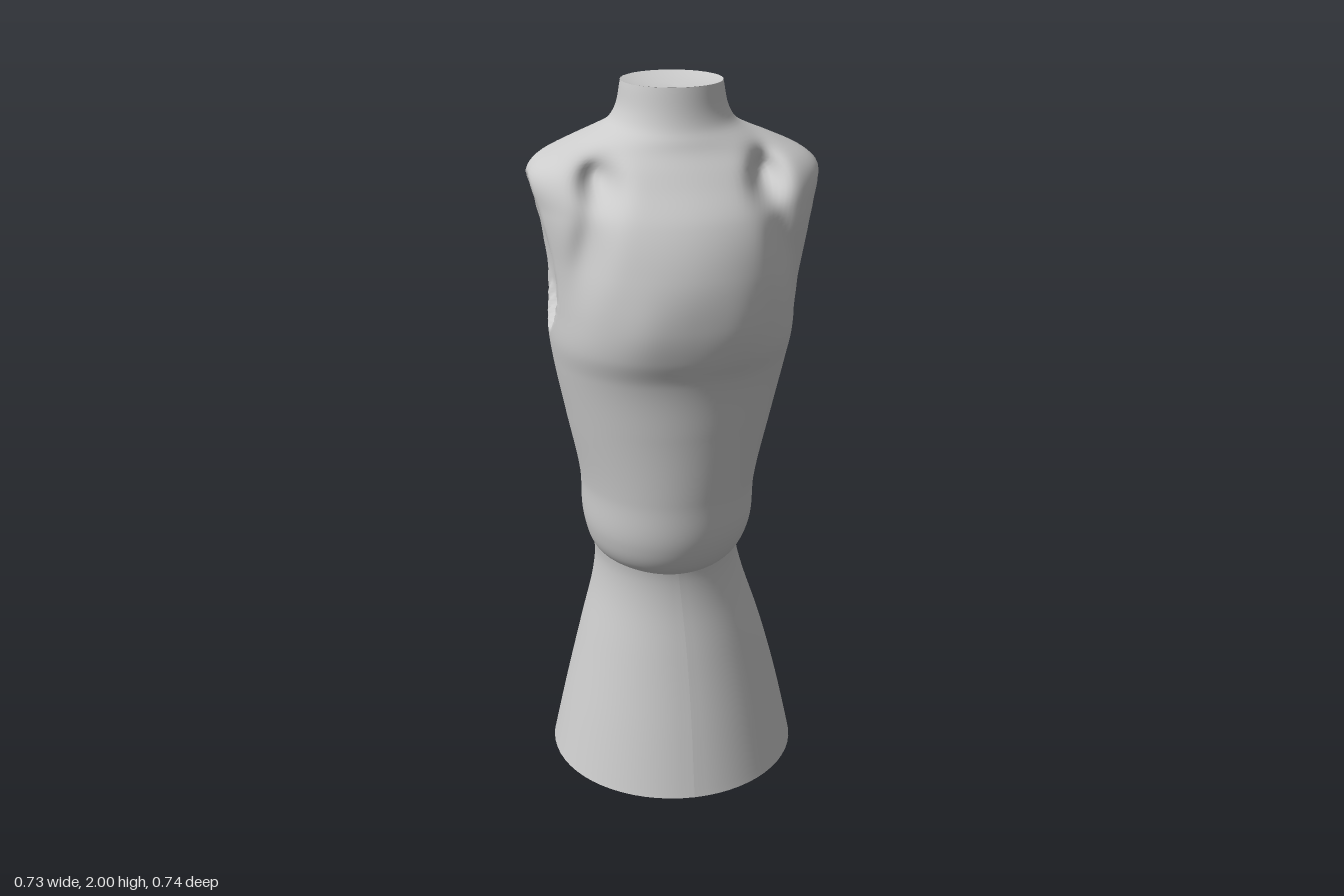
import * as THREE from 'three';

// Torso levels: y, half width, side offset, front z, back z
const LEVELS = [
  [0.665, 0.185, -0.025, 0.235, -0.175],
  [0.69, 0.208, -0.025, 0.258, -0.192],
  [0.76, 0.236, -0.022, 0.287, -0.212],
  [0.9, 0.246, -0.02, 0.298, -0.215],
  [1.1, 0.288, -0.017, 0.31, -0.22],
  [1.26, 0.322, -0.014, 0.328, -0.232],
  [1.33, 0.333, -0.012, 0.352, -0.25],
  [1.42, 0.338, -0.008, 0.366, -0.272],
  [1.55, 0.354, 0, 0.36, -0.285],
  [1.68, 0.38, 0.005, 0.312, -0.28],
  [1.765, 0.393, 0.008, 0.248, -0.258],
  [1.8, 0.362, 0.007, 0.222, -0.243],
  [1.84, 0.282, 0.004, 0.192, -0.222],
  [1.87, 0.216, 0, 0.176, -0.197],
  [1.89, 0.179, 0, 0.164, -0.172],
  [1.92, 0.155, 0, 0.153, -0.153],
  [2.0, 0.135, 0, 0.138, -0.136],
];
const bell = (d, w) => Math.exp(-((d / w) ** 2));
const power = (v, n) => Math.sign(v) * Math.abs(v) ** (2 / n);
const { smoothstep, lerp } = THREE.MathUtils;

const levelAt = new THREE.CubicInterpolant(
  LEVELS.map((l) => l[0]), LEVELS.flatMap((l) => l.slice(1)), 4);

function torsoPoint(y, angle) {
  const [w, cx, front, back] = levelAt.evaluate(y);
  const c = Math.cos(angle), s = Math.sin(angle);
  const isBody = smoothstep(1.9 - y, 0, 0.1);
  const isShoulder = smoothstep(y, 1.3, 1.5) * smoothstep(1.87 - y, 0, 0.17);
  const n = s > 0 ? 2 - 0.06 * isShoulder : 2 + 0.55 * isBody + (c > 0 ? 0.65 : 0.4) * isShoulder;
  const mid = (front + back) / 2, depth = (front - back) / 2;
  let x = cx + w * power(c, n);
  let z = mid + depth * power(s, n);
  const ax = Math.abs(x);
  const face = Math.min(1, Math.abs(s) * 2.5);
  if (s > 0) {
    // bust, with a shallow valley in the middle
    z += face * 0.01 * bell(ax - 0.14, 0.08) * bell(y - 1.42, 0.1);
    // folds running from the front of the shoulder to the armpit
    const fold = 0.23 + (1.75 - y) * 0.2;
    z -= face * 0.04 * bell(ax - fold, 0.045) * bell(y - 1.62, 0.14);
    z -= face * 0.085 * bell(ax - 0.22, 0.045) * bell(y - 1.775, 0.055);
  } else {
    // hollow between the shoulder blades, the left blade lying flatter
    z += face * 0.065 * bell(x, 0.17) * bell(y - 1.54, 0.14);
    z += face * 0.05 * Math.max(x, 0) * isShoulder;
  }
  // dished armholes, the right one narrower
  const [holeZ, holeWidth] = x > 0 ? [0.02, 0.17] : [-0.01, 0.145];
  const r = Math.hypot((y - 1.56) / 0.22, (z - holeZ + (y - 1.56) * 0.12) / holeWidth);
  if (r < 1 && ax > 0.24) {
    const dish = 0.305 + (y - 1.36) * 0.21 - 0.03 * (1 - r * r);
    x = Math.sign(x) * lerp(ax, Math.min(ax, dish), smoothstep(1 - r, 0, 0.08));
  }
  return [x, y, z];
}

function torsoGeometry(rows = 150, cols = 128) {
  const pos = [], index = [];
  for (let i = 0; i <= rows; i++) {
    const y = 0.665 + (2 - 0.665) * (i / rows);
    for (let j = 0; j < cols; j++) pos.push(...torsoPoint(y, (j / cols) * Math.PI * 2));
  }
  for (let i = 0; i < rows; i++) {
    for (let j = 0; j < cols; j++) {
      const a = i * cols + j, b = i * cols + ((j + 1) % cols);
      index.push(a, a + cols, b, b, a + cols, b + cols);
    }
  }
  const g = new THREE.BufferGeometry();
  g.setAttribute('position', new THREE.Float32BufferAttribute(pos, 3));
  g.setIndex(index);
  g.computeVertexNormals();
  return g;
}

// Flared stand, leaning towards the waist centre near its top
function standGeometry() {
  const profile = [[0.362, 0], [0.318, 0.2], [0.268, 0.4], [0.226, 0.55], [0.208, 0.64], [0.206, 0.7]];
  const curve = new THREE.SplineCurve(profile.map((p) => new THREE.Vector2(...p)));
  const g = new THREE.LatheGeometry(curve.getPoints(30), 64);
  const p = g.attributes.position;
  for (let i = 0; i < p.count; i++) {
    const t = (p.getY(i) / 0.67) ** 3;
    p.setX(i, p.getX(i) - 0.025 * t);
    p.setZ(i, p.getZ(i) + 0.03 * t);
  }
  g.computeVertexNormals();
  return g;
}

export function createModel() {
  const model = new THREE.Group();
  model.name = 'dressForm';
  const material = new THREE.MeshStandardMaterial({ color: 0xcccccc, side: THREE.DoubleSide });
  const add = (name, geometry) => {
    const mesh = new THREE.Mesh(geometry, material);
    mesh.name = name;
    model.add(mesh);
  };

  add('torso', torsoGeometry());
  add('stand', standGeometry());
  add('standBase', new THREE.CircleGeometry(0.362, 64).rotateX(Math.PI / 2));

  // slightly hollow top of the neck
  const cap = [[0.136, 2], [0.1, 1.99], [0.05, 1.984], [0, 1.982]];
  add('neckCap', new THREE.LatheGeometry(cap.map((p) => new THREE.Vector2(...p)), 48));

  // the figure faces diagonally between +x and +z
  model.rotation.y = Math.PI / 4;
  const root = new THREE.Group();
  root.name = 'mannequin';
  root.add(model);
  return root;
}
